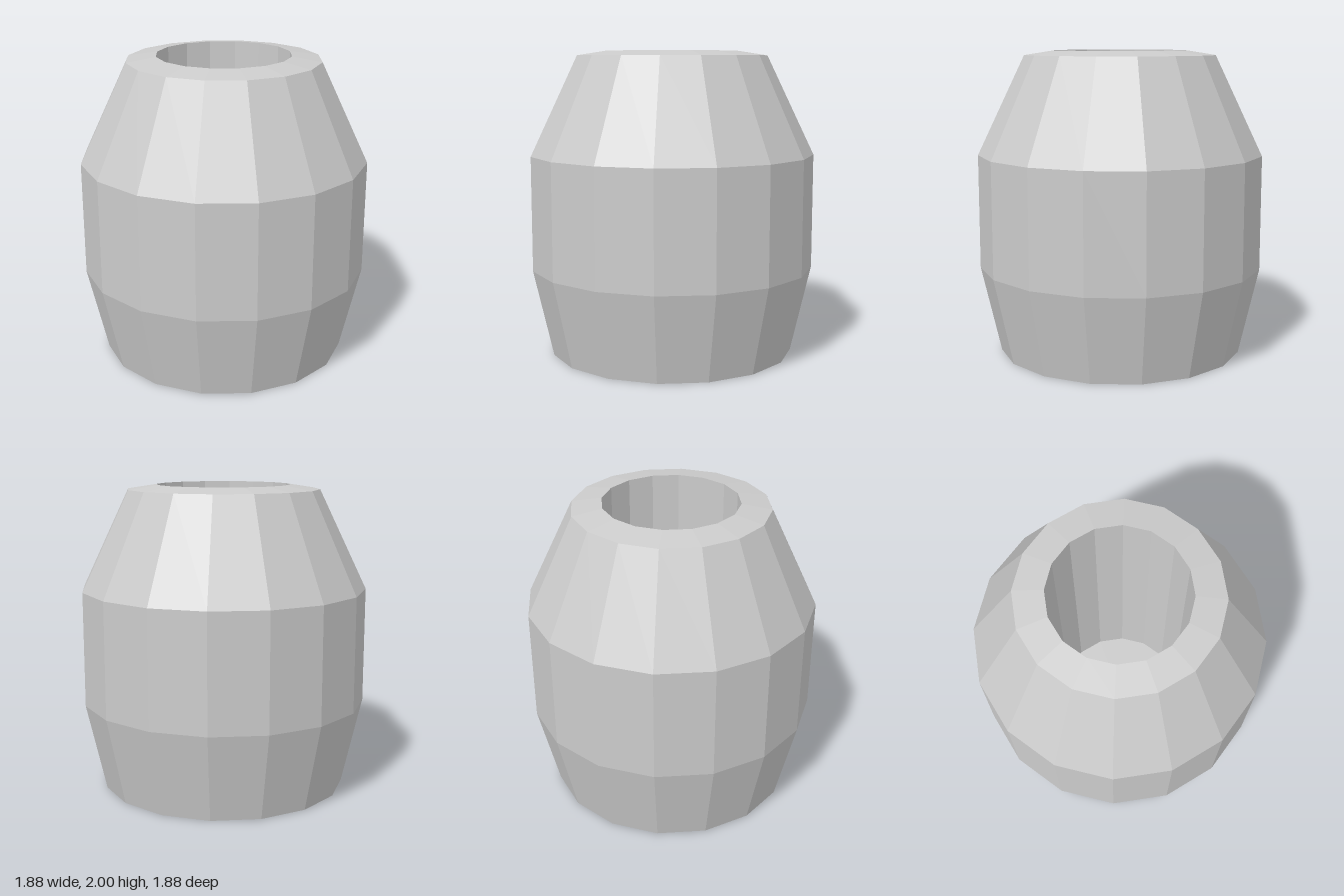
import * as THREE from 'three';

const SIDES = 16;
const material = new THREE.MeshStandardMaterial({ color: 0xcccccc, flatShading: true });

// Faceted ring surface from [radius, height] pairs, rising on the outside and falling on the inside
function turned(name, profile) {
  const points = profile.map(([r, y]) => new THREE.Vector2(r, y));
  const mesh = new THREE.Mesh(new THREE.LatheGeometry(points, SIDES), material);
  mesh.name = name;
  return mesh;
}

export function createModel() {
  const group = new THREE.Group();
  group.name = 'barrelPot';

  group.add(
    // Closed base and the outer wall with its straight belly
    turned('body', [[0, 0], [0.81, 0], [0.94, 0.575], [0.94, 1.325], [0.63, 1.97]]),
    // Slightly raised lip around the opening
    turned('rim', [[0.63, 1.97], [0.437, 2]]),
    // Straight inner wall and floor
    turned('bore', [[0.437, 2], [0.437, 0.12], [0, 0.12]])
  );
  return group;
}
